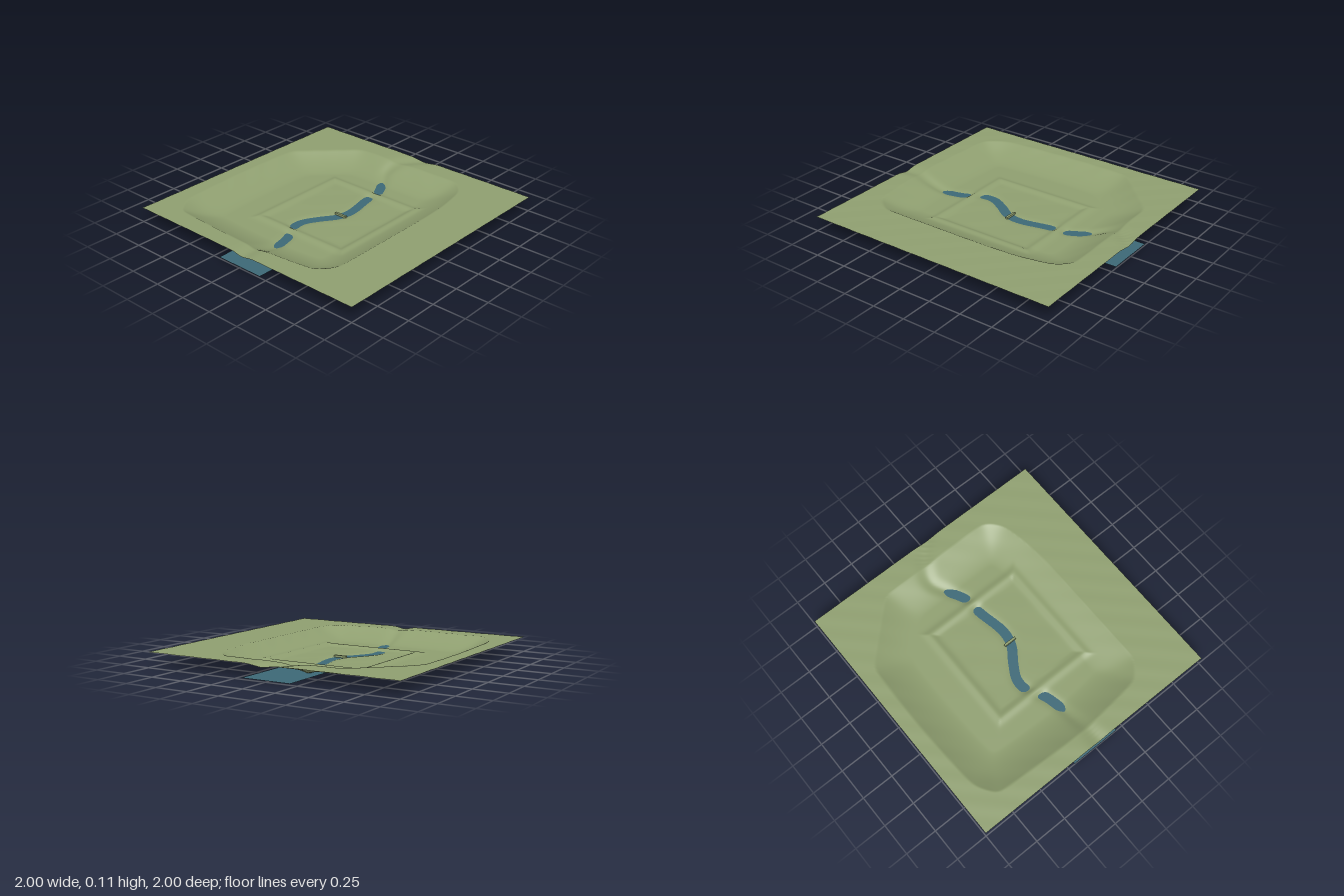
import * as THREE from 'three';

const RIM = 0.113, FLOOR = 0.018, WATER = 0.011;

// Convex outline of the basin rim, as [x, z]
const rim = [[-0.84, -0.76], [-0.7, -0.86], [-0.1, -0.9], [0.44, -0.88], [0.83, -0.48], [0.84, 0.46],
  [0.74, 0.56], [0.45, 0.62], [-0.7, 0.62], [-0.82, 0.52], [-0.88, 0]];

// River course, as [x, z]
const river = new THREE.CatmullRomCurve3([[-1.1, 0.03], [-0.85, 0.02], [-0.65, 0], [-0.48, -0.04], [-0.36, -0.11],
  [-0.26, -0.115], [-0.15, -0.06], [-0.03, 0.02], [0.08, 0.045], [0.32, 0.005], [0.47, -0.01], [0.6, -0.075],
  [0.73, -0.14], [0.85, -0.1], [1.1, 0.12]].map(([x, z]) => new THREE.Vector3(x, 0, z))).getPoints(120);

const bell = (d, width) => Math.exp(-((d / width) ** 2));

// Distance inside the rim, with softened corners
function basinDepth(x, z) {
  const k = 0.018;
  let sum = 0;
  rim.forEach(([ax, az], i) => {
    const [bx, bz] = rim[(i + 1) % rim.length];
    const d = ((bx - ax) * (z - az) - (bz - az) * (x - ax)) / Math.hypot(bx - ax, bz - az);
    sum += Math.exp(-d / k);
  });
  return -k * Math.log(sum);
}

function riverDistance(x, z) {
  let best = 9;
  for (const p of river) best = Math.min(best, Math.hypot(p.x - x, p.z - z));
  return best;
}

function groundHeight(x, z) {
  const t = THREE.MathUtils.clamp(basinDepth(x, z) / 0.265, 0, 1);
  const fall = 1 - (1 - t) ** 1.6;
  const levee = bell(Math.max(Math.abs(x) - 0.41, Math.abs(z) - 0.395), 0.033);
  const d = riverDistance(x, z);
  const channel = 0.016 * bell(d, 0.041 + 0.02 * (1 - fall)) * (1 - levee);
  const ripple = 0.0007 * Math.sin(28 * (x + z)) * (1 - fall);
  const inside = Math.abs(x) < 0.36 && Math.abs(z) < 0.36;
  const bumps = inside ? 0.0012 * Math.sin(19 * x + 2) * Math.sin(17 * z) * (1 - bell(d, 0.08)) : 0;
  return RIM - (RIM - FLOOR) * fall + 0.014 * levee - channel + ripple + bumps;
}

export function createModel() {
  const grass = new THREE.MeshStandardMaterial({ color: 0x8f9f70, side: THREE.DoubleSide });
  grass.name = 'grass';
  const water = new THREE.MeshStandardMaterial({ color: 0x3c6876, side: THREE.DoubleSide });
  water.name = 'water';
  const group = new THREE.Group();
  const add = (name, geometry, material) => {
    const mesh = new THREE.Mesh(geometry, material);
    mesh.name = name;
    group.add(mesh);
    return mesh;
  };

  // Ground sheet with basin, square levee and river channel
  const ground = new THREE.PlaneGeometry(2, 2, 200, 200).rotateX(-Math.PI / 2);
  const pos = ground.attributes.position;
  for (let i = 0; i < pos.count; i++) pos.setY(i, groundHeight(pos.getX(i), pos.getZ(i)));
  ground.computeVertexNormals();
  add('ground', ground, grass);

  // Flat water sheet, showing only where the channel dips below it
  add('waterSheet', new THREE.PlaneGeometry(2, 0.39).rotateX(-Math.PI / 2), water).position.y = WATER;

  // Small weir across the river
  add('weir', new THREE.BoxGeometry(0.018, 0.026, 0.1), grass).position.set(0, 0.014, 0.03);

  return group;
}
